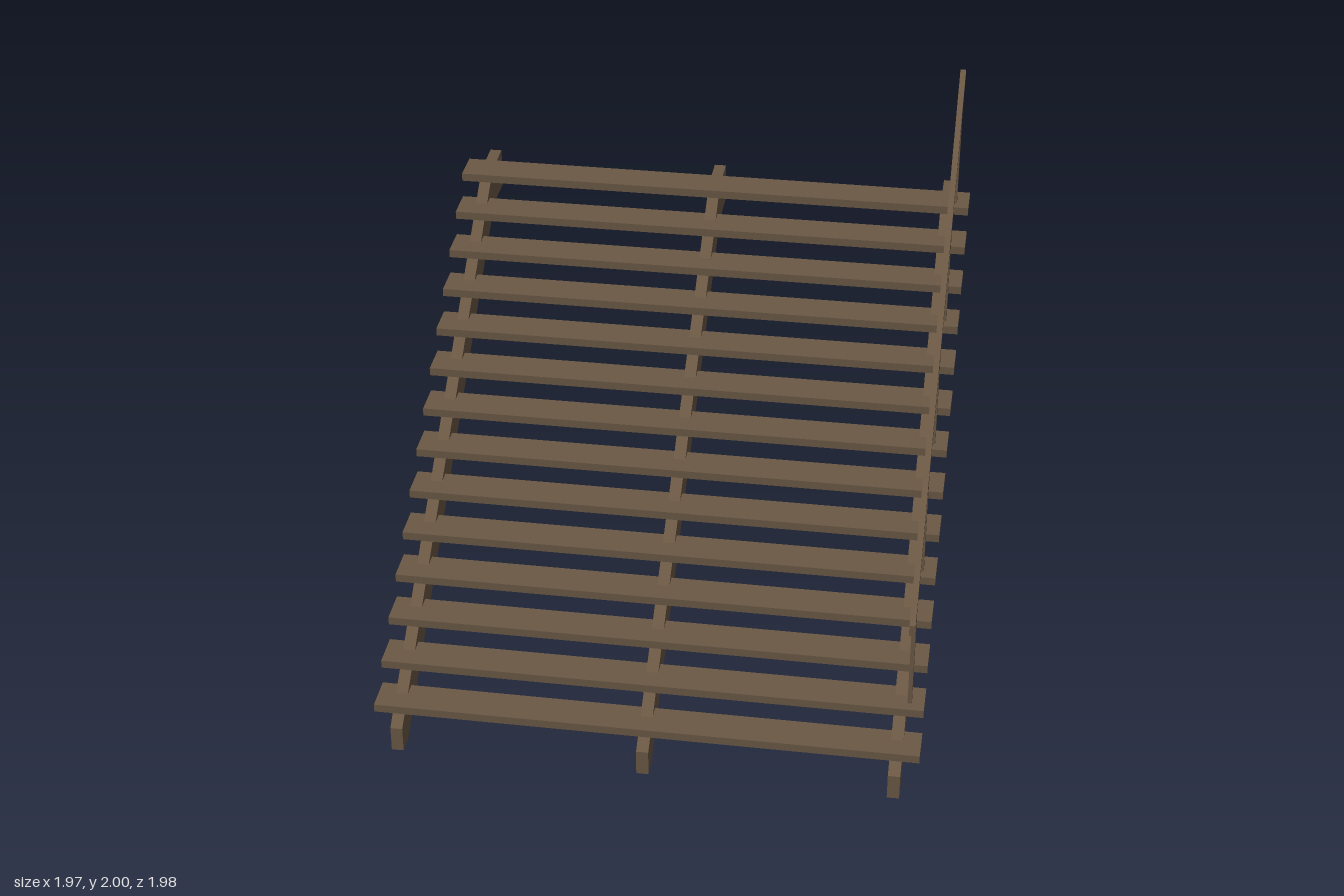
import * as THREE from 'three';

// Extrude a side outline given as [z, y] points into a plank of the given width centred at x
function sidePlank(name, points, width, x, material) {
  const shape = new THREE.Shape(points.map(([z, y]) => new THREE.Vector2(-z, y)));
  const geometry = new THREE.ExtrudeGeometry(shape, { depth: width, bevelEnabled: false });
  geometry.translate(0, 0, -width / 2);
  geometry.rotateY(Math.PI / 2);
  const mesh = new THREE.Mesh(geometry, material);
  mesh.name = name;
  mesh.position.x = x;
  return mesh;
}

export function createModel() {
  const model = new THREE.Group();
  model.name = 'openStaircase';
  const wood = new THREE.MeshStandardMaterial({ color: 0x6b5945 });
  wood.name = 'brown wood';

  // Three sloping stringers with a level end at the top
  const stringerOutline = [
    [0.988, 0], [0.988, 0.098], [-0.82, 1.453], [-0.988, 1.453],
    [-0.988, 1.303], [-0.825, 1.303], [0.918, 0],
  ];
  for (const x of [-0.9, 0, 0.9]) {
    model.add(sidePlank('stringer', stringerOutline, 0.044, x, wood));
  }

  // Fourteen plank treads
  const treadGeometry = new THREE.BoxGeometry(1.97, 0.031, 0.1315);
  const treadY = (i) => 0.161 + i * 0.0988;
  for (let i = 0; i < 14; i++) {
    const tread = new THREE.Mesh(treadGeometry, wood);
    tread.name = 'tread';
    tread.position.set(0, treadY(i), 0.895 - i * 0.1316);
    model.add(tread);
  }

  // Handrail along the left side, with plumb-cut ends
  const railX = 0.932;
  const railOutline = [[0.917, 0.666], [0.917, 0.708], [-0.825, 2], [-0.825, 1.958]];
  model.add(sidePlank('handrail', railOutline, 0.021, railX, wood));

  // Posts on every third tread, reaching up into the rail
  for (let i = 0; i < 5; i++) {
    const z = 0.778 - i * 0.395;
    const bottom = treadY(1 + i * 3) + 0.0155;
    const top = 0.687 + (0.917 - z) * 0.7417;
    const post = new THREE.Mesh(new THREE.BoxGeometry(0.015, top - bottom, 0.03), wood);
    post.name = 'railPost';
    post.position.set(railX, (top + bottom) / 2, z);
    model.add(post);
  }

  return model;
}
